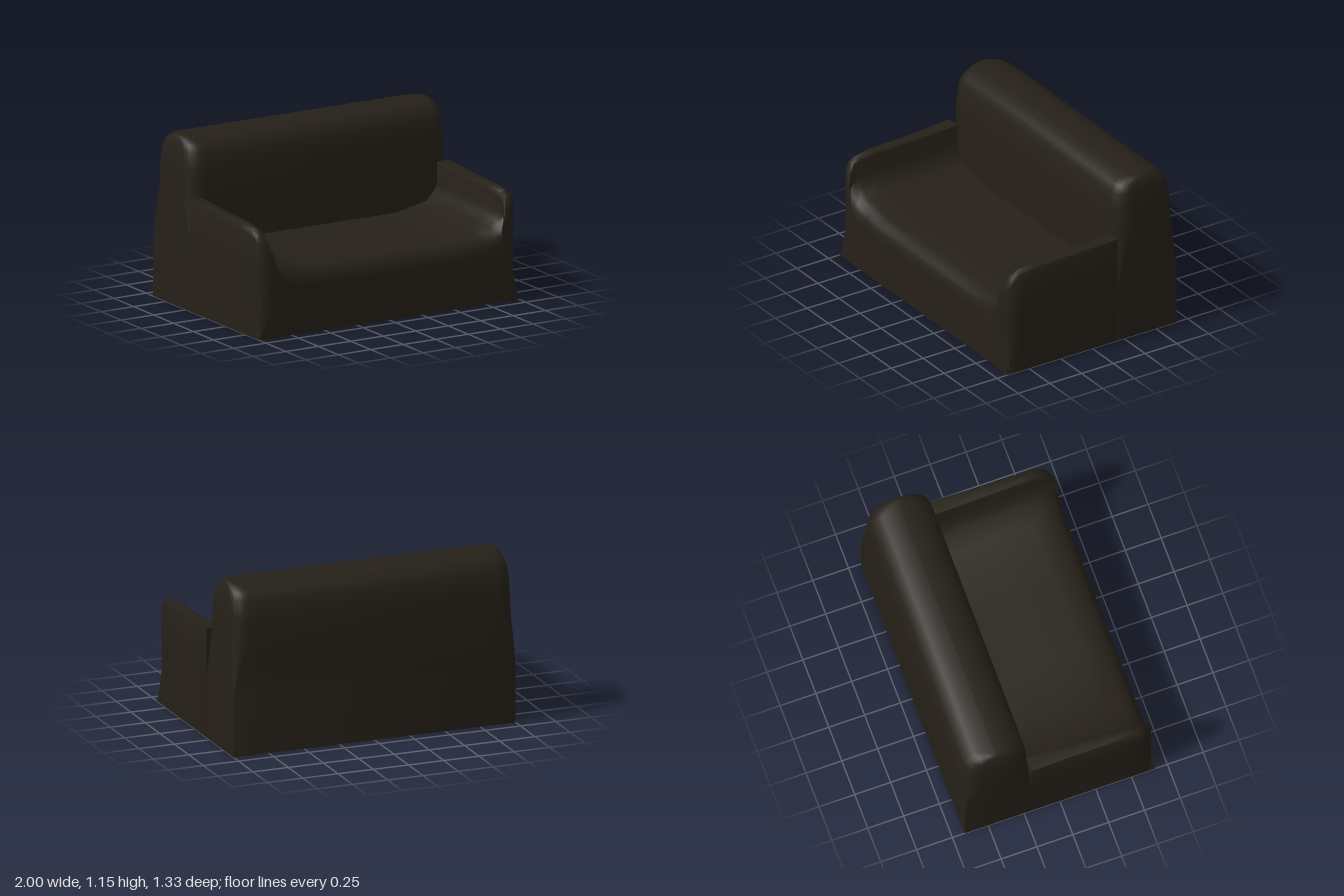
import * as THREE from 'three';
import { toCreasedNormals } from 'three/addons/utils/BufferGeometryUtils.js';

const material = new THREE.MeshStandardMaterial({ color: 0x252018 });

// Skin closed rings of points and cap both ends; flat() gives the cap plane
function loft(name, rings, flat) {
  const n = rings[0].length, index = [];
  for (let i = 0; i < rings.length - 1; i++) {
    for (let j = 0; j < n; j++) {
      const a = i * n + j, b = i * n + (j + 1) % n;
      index.push(a, b, a + n, b, b + n, a + n);
    }
  }
  const cap = (ring) => THREE.ShapeUtils.triangulateShape(ring.map(flat), []);
  for (const [a, b, c] of cap(rings[0])) index.push(a, c, b);
  const last = (rings.length - 1) * n;
  for (const [a, b, c] of cap(rings[rings.length - 1])) index.push(last + a, last + b, last + c);
  const geometry = new THREE.BufferGeometry();
  geometry.setAttribute('position', new THREE.Float32BufferAttribute(rings.flat(2), 3));
  geometry.setIndex(index);
  const mesh = new THREE.Mesh(toCreasedNormals(geometry, 0.75), material);
  mesh.name = name;
  return mesh;
}

// Seat and both arms: U-shaped section at depth z
function seatSection([z, inset, top, seat, inner, round]) {
  const out = 1 - inset, rise = top - seat;
  const half = [
    [1, 0], [out, 0.2], [out, top * 0.65], [out, top - round],
    [out - round * 0.3, top - round * 0.3], [(out + inner) / 2, top],
    [inner + round * 0.3, top - round * 0.3], [inner, top - round],
    [inner, seat + rise * 0.5], [inner - 0.03, seat + rise * 0.33],
    [inner - 0.08, seat + rise * 0.16], [0.7, seat + rise * 0.08], [0.58, seat], [0.25, seat],
  ];
  const mirrored = half.map(([x, y]) => [-x, y]).reverse();
  return [...half, ...mirrored].map(([x, y]) => [x, y, z]);
}

// Backrest: rounded rectangle at height y
function backSection([y, x, front, back, r]) {
  const half = [], steps = 5;
  const rz = Math.min(r, (front - back) / 2);
  for (let k = 0; k <= steps; k++) {
    const a = (k / steps) * Math.PI / 2;
    half.push([x - r + r * Math.sin(a), y, front - rz + rz * Math.cos(a)]);
  }
  for (let k = 0; k <= steps; k++) {
    const a = (k / steps) * Math.PI / 2;
    half.push([x - r + r * Math.cos(a), y, back + rz - rz * Math.sin(a)]);
  }
  return [...half, ...half.map(([px, py, pz]) => [-px, py, pz]).reverse()];
}

export function createModel() {
  const group = new THREE.Group();
  group.name = 'sofa';

  // z, corner inset, arm top, seat top, inner arm x, arm edge rounding
  const seat = [
    [-0.2, 0, 0.755, 0.45, 0.9, 0.002],
    [-0.05, 0, 0.753, 0.45, 0.9, 0.02],
    [0.15, 0, 0.75, 0.45, 0.9, 0.04],
    [0.43, 0, 0.745, 0.45, 0.905, 0.045],
    [0.565, 0.002, 0.728, 0.443, 0.91, 0.045],
    [0.61, 0.011, 0.7, 0.428, 0.91, 0.04],
    [0.637, 0.03, 0.65, 0.405, 0.905, 0.03],
    [0.657, 0.06, 0.59, 0.375, 0.89, 0.02],
    [0.665, 0.1, 0.5, 0.33, 0.87, 0.01],
  ].map(seatSection);
  group.add(loft('seatAndArms', seat, (p) => new THREE.Vector2(p[0], p[1])));

  // y, half width, front z, back z, corner radius
  const back = [
    [0, 1, -0.2, -0.665, 0.002],
    [0.42, 1, -0.2, -0.665, 0.004],
    [0.55, 1, -0.2, -0.665, 0.04],
    [0.75, 1, -0.2, -0.665, 0.11],
    [0.94, 0.995, -0.205, -0.66, 0.11],
    [1.05, 0.985, -0.22, -0.64, 0.105],
    [1.1, 0.975, -0.25, -0.61, 0.1],
    [1.13, 0.965, -0.3, -0.56, 0.09],
    [1.145, 0.955, -0.36, -0.5, 0.06],
    [1.15, 0.94, -0.425, -0.435, 0.005],
  ].map(backSection);
  group.add(loft('backrest', back, (p) => new THREE.Vector2(p[0], -p[2])));

  return group;
}
